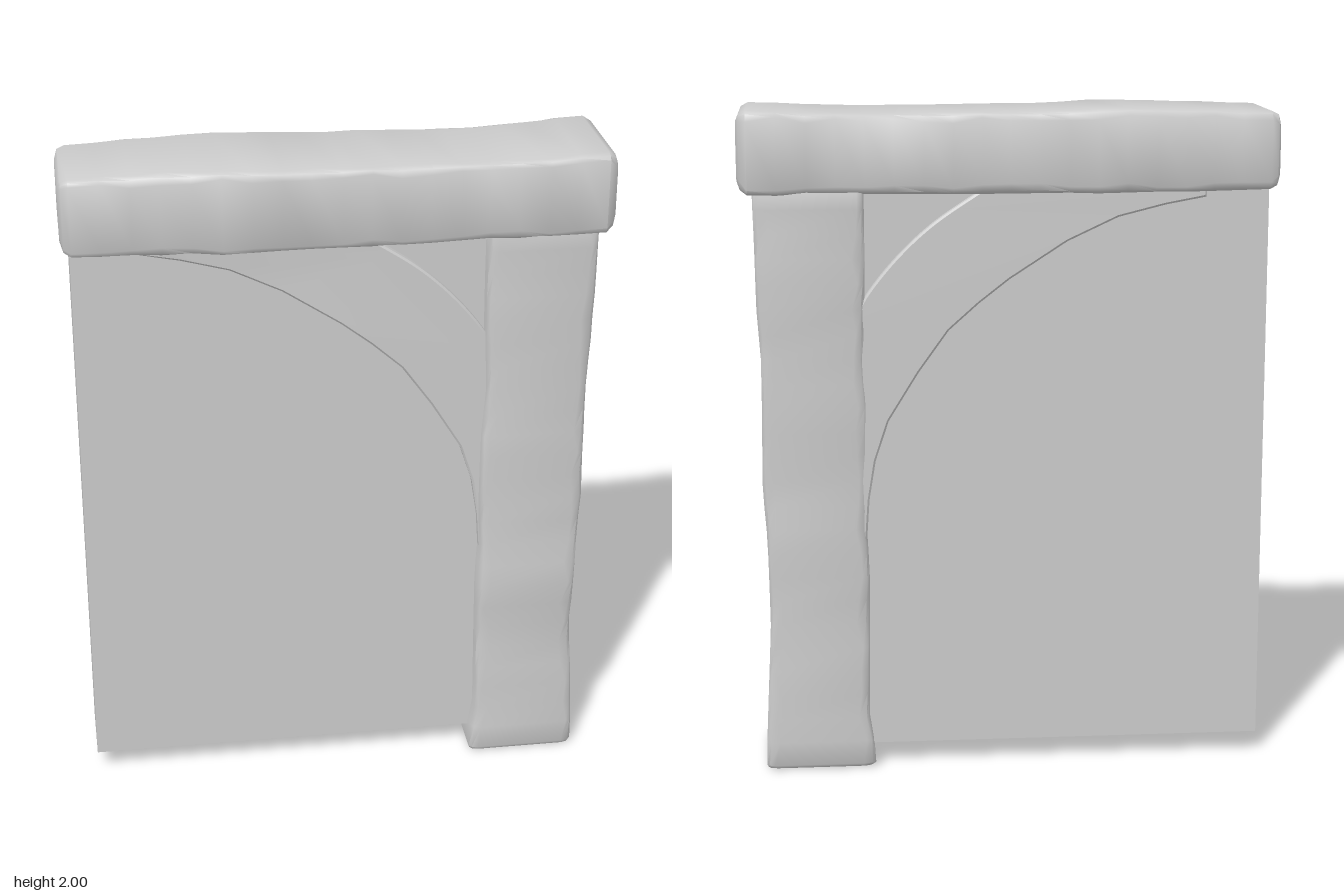
import * as THREE from 'three';
import { toCreasedNormals } from 'three/addons/utils/BufferGeometryUtils.js';

const material = new THREE.MeshStandardMaterial({ color: 0xcccccc, side: THREE.DoubleSide });

function seeded(seed) {
  return () => {
    seed = (seed * 16807) % 2147483647;
    return seed / 2147483647;
  };
}

// Piecewise-linear lookup of a station table: [position, v0, v1, w0, w1]
function sample(stations, u) {
  let i = 0;
  while (i < stations.length - 2 && u > stations[i + 1][0]) i++;
  const a = stations[i], b = stations[i + 1];
  const t = THREE.MathUtils.clamp((u - a[0]) / (b[0] - a[0]), 0, 1);
  return a.slice(1).map((value, k) => THREE.MathUtils.lerp(value, b[k + 1], t));
}

// Hewn timber: rounded rectangles lofted along u, with uneven worn corners.
// place(u, v, w) turns the local axes into x, y, z.
function hewnTimber(name, stations, { rings, seed, bevel, wearV, wearW, place }) {
  const random = seeded(seed);
  const start = stations[0][0], end = stations[stations.length - 1][0];
  const levels = [[start, bevel], [start + bevel * 0.3, bevel * 0.3]];
  for (let i = 0; i <= rings; i++) {
    levels.push([THREE.MathUtils.lerp(start + bevel, end - bevel, i / rings), 0]);
  }
  levels.push([end - bevel * 0.3, bevel * 0.3], [end, bevel]);

  const positions = [], indices = [], sides = 12;
  for (const [u, inset] of levels) {
    let [v0, v1, w0, w1] = sample(stations, u);
    v0 += inset; w0 += inset; v1 -= inset; w1 -= inset;
    const corners = [[v0, w0, 1, 1], [v1, w0, -1, 1], [v1, w1, -1, -1], [v0, w1, 1, -1]];
    corners.forEach(([v, w, sv, sw], k) => {
      const c = sv * wearV * (0.6 + 0.8 * random()), d = sw * wearW * (0.6 + 0.8 * random());
      const corner = [[v, w + d], [v + c * 0.3, w + d * 0.3], [v + c, w]];
      if (k % 2) corner.reverse();
      for (const [pv, pw] of corner) positions.push(...place(u, pv, pw));
    });
  }
  const last = (levels.length - 1) * sides;
  for (let r = 0; r < levels.length - 1; r++) {
    for (let k = 0; k < sides; k++) {
      const a = r * sides + k, b = r * sides + (k + 1) % sides;
      indices.push(a, b, b + sides, a, b + sides, a + sides);
    }
  }
  for (let k = 1; k < sides - 1; k++) {
    indices.push(0, k + 1, k, last, last + k, last + k + 1);
  }
  const geometry = new THREE.BufferGeometry();
  geometry.setAttribute('position', new THREE.Float32BufferAttribute(positions, 3));
  geometry.setIndex(indices);
  const mesh = new THREE.Mesh(toCreasedNormals(geometry, 0.8), material);
  mesh.name = name;
  return mesh;
}

// Curved brace between post and beam, standing slightly proud of the panel
function createBrace() {
  const points = list => list.map(([x, y]) => new THREE.Vector2(x, y));
  const shape = new THREE.Shape();
  shape.moveTo(0.46, 0.66);
  shape.lineTo(0.46, 1.38);
  shape.splineThru(points([[0.42, 1.46], [0.33, 1.57], [0.22, 1.67], [0.07, 1.77]]));
  shape.lineTo(-0.58, 1.77);
  for (const p of points([[-0.58, 1.737], [-0.46, 1.715], [-0.32, 1.68], [-0.17, 1.61], [0, 1.5],
    [0.09, 1.43], [0.18, 1.35], [0.27, 1.225], [0.36, 1.08], [0.4, 0.96], [0.42, 0.84], [0.43, 0.7]])) {
    shape.lineTo(p.x, p.y);
  }
  const geometry = new THREE.ExtrudeGeometry(shape, {
    depth: 0.265, bevelEnabled: true, bevelThickness: 0.006, bevelSize: 0.006,
    bevelOffset: -0.006, bevelSegments: 1, curveSegments: 8,
  });
  geometry.translate(0, 0, -0.145);
  // The front face sinks towards the panel at the thin far end
  const position = geometry.attributes.position;
  for (let i = 0; i < position.count; i++) {
    if (position.getZ(i) > 0) {
      const taper = 1 - THREE.MathUtils.smoothstep(position.getX(i), -0.58, 0);
      position.setZ(i, position.getZ(i) - 0.022 * taper);
    }
  }
  const mesh = new THREE.Mesh(toCreasedNormals(geometry, 0.5), material);
  mesh.name = 'curvedBrace';
  return mesh;
}

export function createModel() {
  const group = new THREE.Group();
  group.name = 'timberWallSection';

  // Plain infill panel, recessed on both faces
  const panel = new THREE.Mesh(new THREE.BoxGeometry(1.25, 1.74, 0.22), material);
  panel.position.set(-0.145, 0.935, -0.01);
  panel.name = 'wallPanel';
  group.add(panel);

  // Top beam: x, then bottom, top, back, front
  group.add(hewnTimber('topBeam', [
    [-0.795, 1.76, 1.985, -0.18, 0.16],
    [-0.6, 1.754, 1.992, -0.183, 0.165],
    [-0.45, 1.755, 1.996, -0.193, 0.175],
    [-0.28, 1.752, 1.998, -0.193, 0.19],
    [-0.15, 1.755, 1.99, -0.185, 0.182],
    [0.1, 1.752, 1.988, -0.178, 0.18],
    [0.4, 1.755, 1.986, -0.167, 0.18],
    [0.6, 1.758, 1.99, -0.178, 0.182],
    [0.74, 1.752, 2, -0.198, 0.182],
    [0.79, 1.762, 1.995, -0.18, 0.178],
  ], { rings: 18, seed: 41, bevel: 0.03, wearV: 0.022, wearW: 0.024, place: (x, y, z) => [x, y, z] }));

  // Post: y, then back, front, inner side, outer side
  group.add(hewnTimber('post', [
    [0, -0.16, 0.163, 0.41, 0.742],
    [0.06, -0.167, 0.164, 0.412, 0.742],
    [0.15, -0.164, 0.162, 0.428, 0.738],
    [0.45, -0.16, 0.158, 0.424, 0.722],
    [0.65, -0.161, 0.172, 0.422, 0.724],
    [0.73, -0.163, 0.16, 0.43, 0.726],
    [0.88, -0.154, 0.159, 0.422, 0.737],
    [1.1, -0.162, 0.158, 0.422, 0.733],
    [1.27, -0.161, 0.158, 0.434, 0.732],
    [1.42, -0.165, 0.159, 0.427, 0.742],
    [1.6, -0.165, 0.158, 0.425, 0.744],
    [1.8, -0.163, 0.158, 0.425, 0.748],
  ], { rings: 24, seed: 97, bevel: 0.014, wearV: 0.018, wearW: 0.03, place: (y, z, x) => [x, y, z] }));

  group.add(createBrace());
  return group;
}
